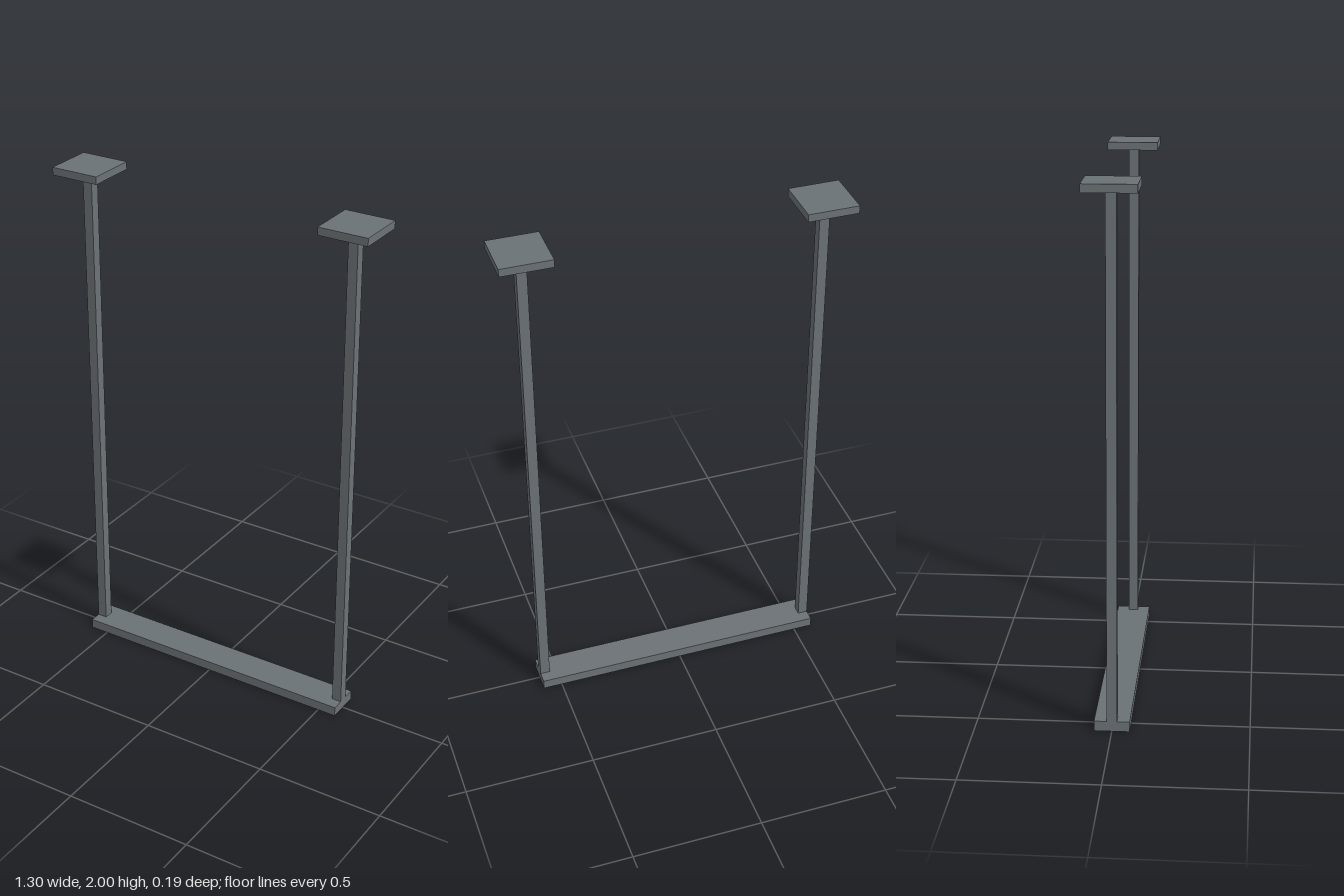
import * as THREE from 'three';

export function createModel() {
  const group = new THREE.Group();
  const metal = new THREE.MeshStandardMaterial({ color: 0x6b7276 });

  // Box placed by its bottom height
  function addBox(name, w, h, d, x, bottom) {
    const mesh = new THREE.Mesh(new THREE.BoxGeometry(w, h, d), metal);
    mesh.name = name;
    mesh.position.set(x, bottom + h / 2, 0);
    group.add(mesh);
  }

  const barHeight = 0.038, plateHeight = 0.03, postX = 0.555;

  // Flat crossbar joining the posts at the bottom
  addBox('crossbar', 1.148, barHeight, 0.13, 0, 0);

  // Square post and mounting plate on each side
  for (const [side, s] of [['left', 1], ['right', -1]]) {
    addBox(side + 'Post', 0.038, 2 - barHeight - plateHeight, 0.038, s * postX, barHeight);
    addBox(side + 'MountingPlate', 0.194, plateHeight, 0.194, s * postX, 2 - plateHeight);
  }
  return group;
}
